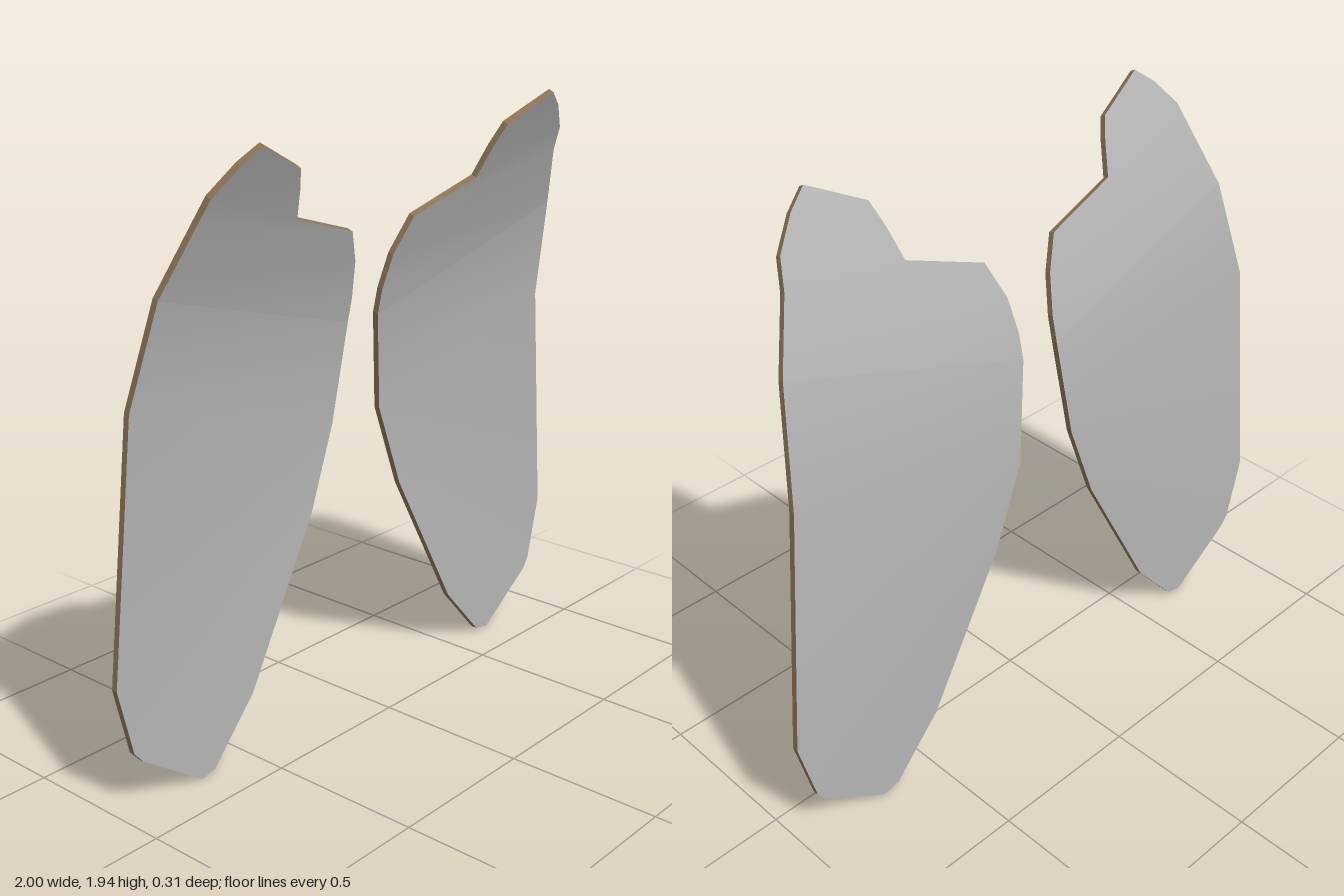
import * as THREE from 'three';

const HALF_THICKNESS = 0.01;

// Outlines as [distance from centre, height], running bottom to top.
const OUTLINES = {
  right: {
    outer: [[0.70, 0.003], [0.92, 0.16], [0.95, 0.195], [1.0, 0.41], [0.92, 1.20], [0.867, 1.51],
      [0.79, 1.71], [0.77, 1.775], [0.70, 1.855], [0.64, 1.90]],
    inner: [[0.645, 0.015], [0.48, 0.20], [0.21, 0.70], [0.11, 0.97], [0.073, 1.29], [0.073, 1.37],
      [0.095, 1.49], [0.145, 1.59], [0.405, 1.665], [0.435, 1.76], [0.463, 1.82]],
  },
  left: {
    outer: [[0.70, 0.003], [0.92, 0.155], [0.945, 0.19], [1.0, 0.41], [0.92, 1.20], [0.855, 1.54],
      [0.77, 1.73], [0.745, 1.81], [0.67, 1.89], [0.605, 1.935]],
    inner: [[0.64, 0.015], [0.475, 0.20], [0.21, 0.69], [0.11, 0.97], [0.065, 1.29], [0.065, 1.37],
      [0.08, 1.48], [0.13, 1.595], [0.385, 1.685], [0.41, 1.78], [0.435, 1.85]],
  },
};

// Ribs pair an outer point with an inner point; the two runs meet at a crease.
const RIB_RUNS = [
  [[0, 0], [1, 1], [2, 1], [3, 2], [4, 3], [5, 4]],
  [[5, 4], [5, 5], [6, 6], [6, 7], [7, 8], [7, 9], [8, 10], [9, 10]],
];

// Flat below, curling forward towards the top; depth is -1 (back) to 1 (front).
function place([x, y], side, depth) {
  const rise = Math.max(0, y - 0.95);
  const slope = 2 * 0.297 * rise;
  const d = depth * HALF_THICKNESS / Math.hypot(1, slope);
  return [side * x, y - slope * d, -0.145 + 0.297 * rise * rise + d];
}

function makeGeometry(positions, index, flip) {
  if (flip) for (let i = 0; i < index.length; i += 3) [index[i], index[i + 1]] = [index[i + 1], index[i]];
  const g = new THREE.BufferGeometry();
  g.setAttribute('position', new THREE.Float32BufferAttribute(positions, 3));
  g.setIndex(index);
  return g;
}

// One smooth run of the broad face
function faceGeometry({ outer, inner }, ribs, side, depth) {
  const points = [...outer, ...inner];
  const n = outer.length;
  const index = [];
  for (let k = 0; k + 1 < ribs.length; k++) {
    const [o, i] = ribs[k], [o2, i2] = ribs[k + 1];
    if (i !== i2) index.push(o, n + i, n + i2);
    if (o !== o2) index.push(o, n + i2, o2);
  }
  const positions = points.flatMap((p) => place(p, side, depth));
  const g = makeGeometry(positions, index, side * depth > 0);
  g.computeVertexNormals();
  return g;
}

// Faceted rim following the whole outline
function rimGeometry({ outer, inner }, side) {
  const loop = [...outer, ...[...inner].reverse()];
  const positions = loop.flatMap((p) => [...place(p, side, 1), ...place(p, side, -1)]);
  const index = [];
  loop.forEach((_, k) => {
    const a = 2 * k, b = 2 * ((k + 1) % loop.length);
    index.push(a, b, b + 1, a, b + 1, a + 1);
  });
  const g = makeGeometry(positions, index, side > 0).toNonIndexed();
  g.computeVertexNormals();
  return g;
}

export function createModel() {
  const plateGrey = new THREE.MeshStandardMaterial({ color: 0xb4b4b4 });
  plateGrey.name = 'plateGrey';
  const rimBrown = new THREE.MeshStandardMaterial({ color: 0x8b7355 });
  rimBrown.name = 'rimBrown';

  const model = new THREE.Group();
  model.name = 'curvedPlates';

  for (const [name, side] of [['left', 1], ['right', -1]]) {
    const outline = OUTLINES[name];
    const plate = new THREE.Group();
    plate.name = `${name}Plate`;
    const add = (part, geometry, material) => {
      const mesh = new THREE.Mesh(geometry, material);
      mesh.name = `${name}${part}`;
      plate.add(mesh);
    };
    RIB_RUNS.forEach((ribs, k) => {
      const section = k ? 'Upper' : 'Lower';
      add(`${section}Front`, faceGeometry(outline, ribs, side, 1), plateGrey);
      add(`${section}Back`, faceGeometry(outline, ribs, side, -1), plateGrey);
    });
    add('Rim', rimGeometry(outline, side), rimBrown);
    model.add(plate);
  }
  return model;
}
